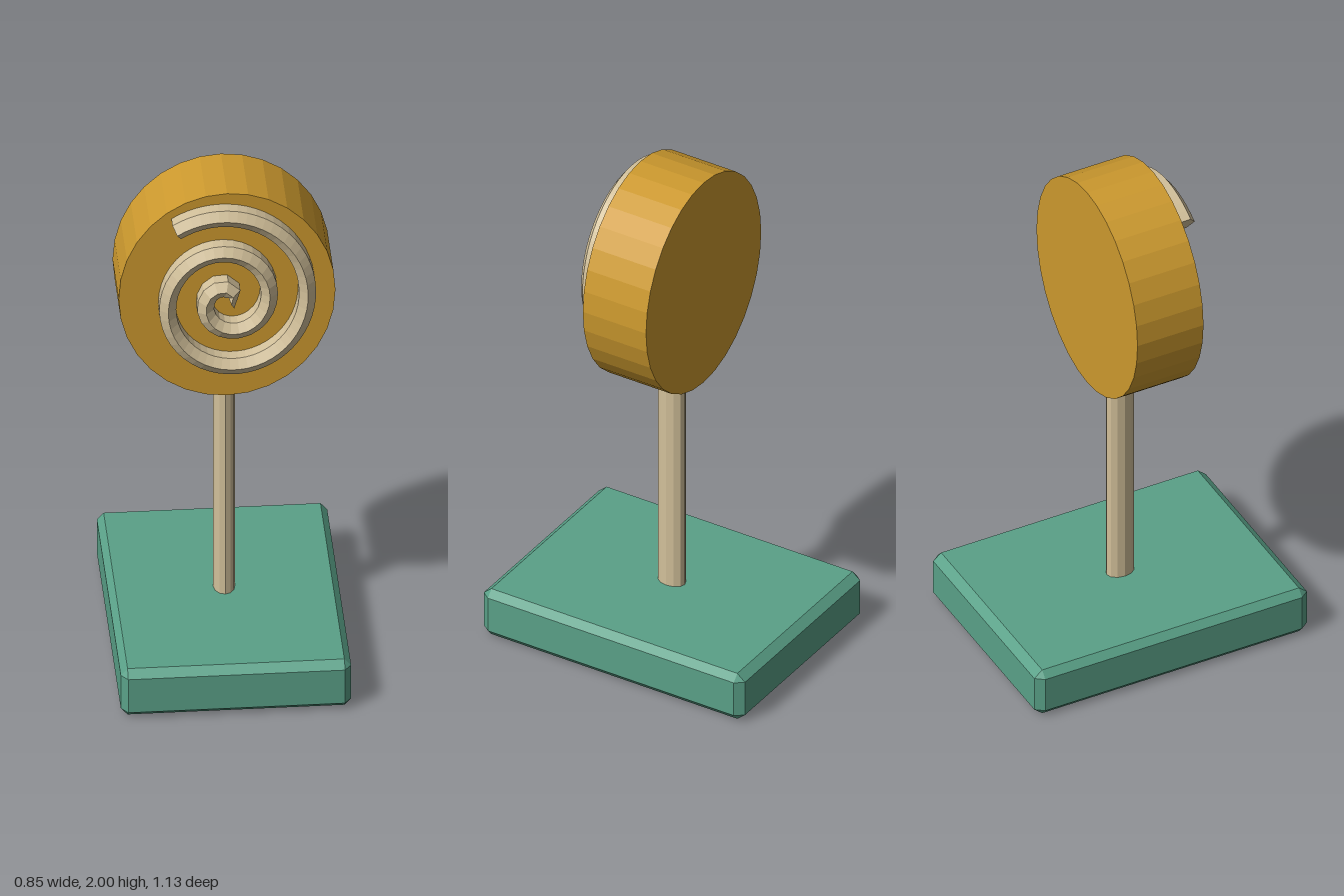
import * as THREE from 'three';
import { ConvexGeometry } from 'three/addons/geometries/ConvexGeometry.js';

const flat = (name, color) => {
  const m = new THREE.MeshStandardMaterial({ color });
  m.name = name;
  m.flatShading = true;
  return m;
};

// Box with every edge chamfered; half sizes h, chamfer c per axis
function chamferedBox(h, c) {
  const points = [];
  for (const sx of [-1, 1]) for (const sy of [-1, 1]) for (const sz of [-1, 1]) {
    for (let axis = 0; axis < 3; axis++) {
      // one point on each of the three faces meeting at this corner
      const p = h.map((v, i) => (i === axis ? v : v - c[i]));
      points.push(new THREE.Vector3(sx * p[0], sy * p[1], sz * p[2]));
    }
  }
  return new ConvexGeometry(points);
}

// Flat spiral opening anticlockwise, in units of the candy radius
class Spiral extends THREE.Curve {
  getPoint(t, target = new THREE.Vector3()) {
    const turns = 2.344 * t;
    const r = 0.025 + 0.353 * turns;
    const a = turns * Math.PI * 2;
    return target.set(r * Math.cos(a), r * Math.sin(a), 0);
  }
}

export function createModel() {
  const group = new THREE.Group();
  const green = flat('green', 0x5aa188);
  const gold = flat('gold', 0xcc992e);
  const cream = flat('cream', 0xd2c09a);

  const add = (name, geometry, material, parent = group) => {
    const mesh = new THREE.Mesh(geometry, material);
    mesh.name = name;
    parent.add(mesh);
    return mesh;
  };

  // Base block
  add('base', chamferedBox([0.425, 0.1, 0.566], [0.025, 0.028, 0.033]), green).position.y = 0.1;

  // Oval stick, running up into the candy
  const stick = add('stick', new THREE.CylinderGeometry(1, 1, 1.05, 12), cream);
  stick.scale.set(0.04, 1, 0.056);
  stick.position.y = 0.675;

  // Candy disc, slightly taller than wide
  const disc = add('candyDisc', new THREE.CylinderGeometry(1, 1, 0.274, 32).rotateX(Math.PI / 2), gold);
  disc.scale.set(0.4, 0.44, 1);
  disc.position.y = 1.56;

  // Raised six-sided swirl on the front face, ridge outwards
  const swirl = new THREE.Group();
  swirl.name = 'swirl';
  swirl.position.set(0, 1.56, 0.161);
  swirl.scale.set(0.4, 0.44, 0.55);
  group.add(swirl);
  const curve = new Spiral();
  const radius = 0.09;
  add('swirlRope', new THREE.TubeGeometry(curve, 80, radius, 6), cream, swirl);

  // Swirl end caps
  for (const [t, sign] of [[0, -1], [1, 1]]) {
    const cap = add('swirlEnd', new THREE.CircleGeometry(radius, 6, Math.PI / 2), cream, swirl);
    const p = curve.getPointAt(t);
    cap.position.copy(p);
    cap.up.set(0, 0, 1);
    cap.quaternion.setFromRotationMatrix(new THREE.Matrix4().lookAt(
      curve.getTangentAt(t).multiplyScalar(sign), new THREE.Vector3(), cap.up));
  }

  return group;
}
